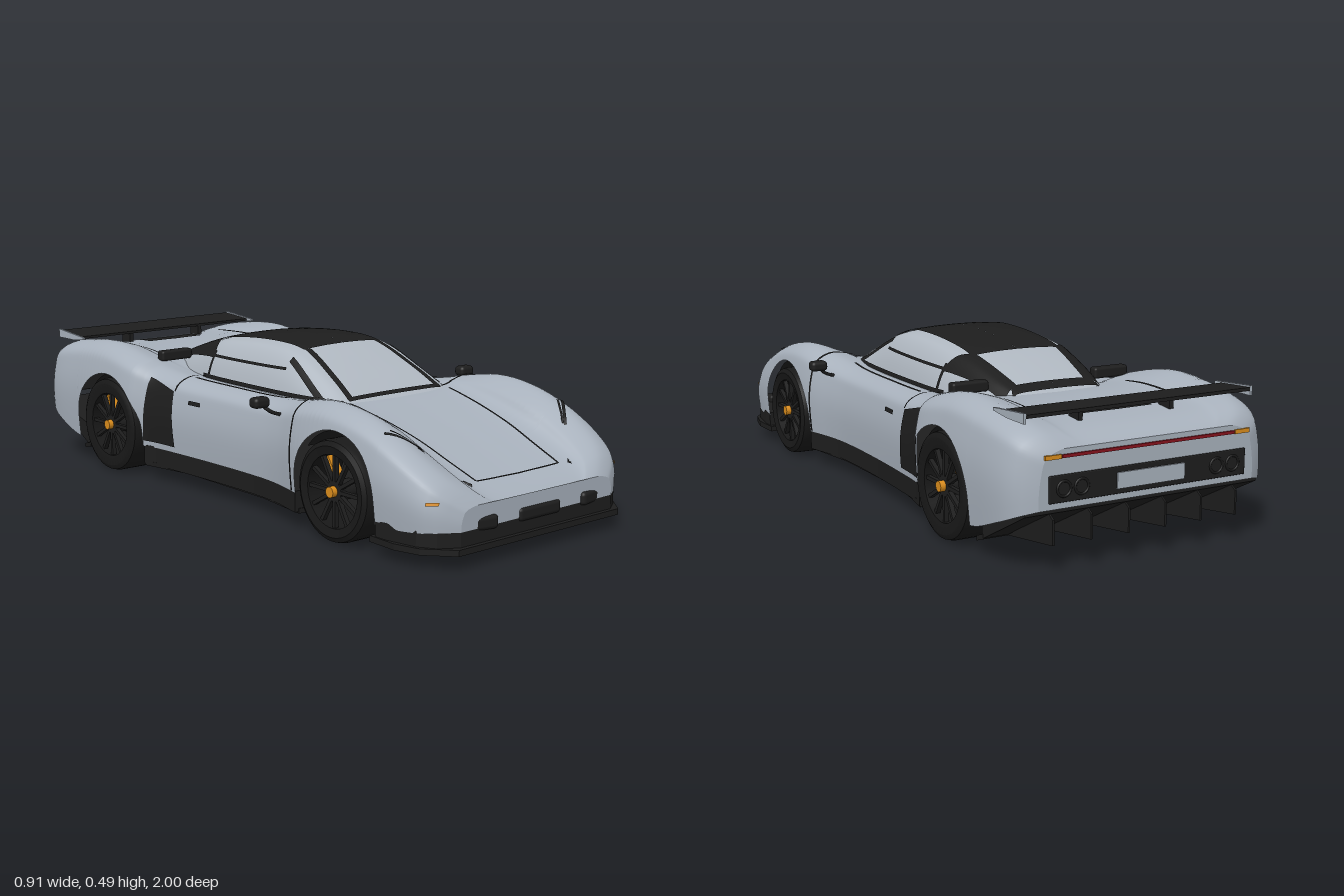
import * as THREE from 'three';
import { toCreasedNormals } from 'three/addons/utils/BufferGeometryUtils.js';
import { RoundedBoxGeometry } from 'three/addons/geometries/RoundedBoxGeometry.js';

const mat = (name, color, side = THREE.DoubleSide) =>
  Object.assign(new THREE.MeshStandardMaterial({ color, side }), { name });
const V = (x, y, z) => new THREE.Vector3(x, y, z);
const lerp = THREE.MathUtils.lerp;

// Body stations: z, half width, fender height, centre height, lower edge
const BODY = [
  [-0.99, 0.35, 0.34, 0.34, 0.18], [-0.97, 0.39, 0.365, 0.355, 0.17], [-0.9, 0.42, 0.395, 0.375, 0.14],
  [-0.75, 0.43, 0.42, 0.385, 0.09], [-0.6, 0.432, 0.425, 0.385, 0.1], [-0.43, 0.428, 0.39, 0.365, 0.11],
  [-0.38, 0.395, 0.365, 0.35, 0.11], [-0.25, 0.38, 0.35, 0.335, 0.11], [0, 0.37, 0.345, 0.33, 0.11],
  [0.2, 0.372, 0.345, 0.335, 0.11], [0.3, 0.385, 0.355, 0.34, 0.11], [0.4, 0.41, 0.375, 0.345, 0.11],
  [0.5, 0.42, 0.388, 0.325, 0.1], [0.6, 0.422, 0.38, 0.3, 0.09], [0.7, 0.42, 0.355, 0.27, 0.09],
  [0.8, 0.418, 0.31, 0.232, 0.09], [0.9, 0.4, 0.25, 0.195, 0.095], [0.95, 0.37, 0.21, 0.175, 0.1],
  [0.985, 0.31, 0.165, 0.155, 0.1]];
// Cabin stations: z, base half width, roof half width, roof height
const CABIN = [
  [-0.57, 0.16, 0.12, 0.355], [-0.52, 0.18, 0.125, 0.382], [-0.42, 0.22, 0.135, 0.42], [-0.3, 0.245, 0.145, 0.458],
  [-0.2, 0.26, 0.155, 0.478], [0, 0.265, 0.16, 0.49], [0.15, 0.265, 0.16, 0.477],
  [0.3, 0.265, 0.165, 0.41], [0.4, 0.262, 0.17, 0.352], [0.43, 0.26, 0.17, 0.33]];
const WHEELS = [{ z: 0.58, y: 0.149, r: 0.149 }, { z: -0.57, y: 0.157, r: 0.157 }];
const ARCH = 0.175;

// Smooth interpolation between stations
function station(rows, z) {
  let i = 0;
  while (i < rows.length - 2 && z > rows[i + 1][0]) i++;
  const a = rows[i], b = rows[i + 1], p = rows[i - 1] || a, n = rows[i + 2] || b;
  const h = b[0] - a[0], t = (z - a[0]) / h;
  return a.map((v, k) => {
    const m0 = (b[k] - p[k]) / (b[0] - p[0]) * h, m1 = (n[k] - v) / (n[0] - a[0]) * h;
    return (2 * t ** 3 - 3 * t * t + 1) * v + (t ** 3 - 2 * t * t + t) * m0 + (3 * t * t - 2 * t ** 3) * b[k] + (t ** 3 - t * t) * m1;
  });
}
// Half cross-sections, running from the lower outer edge to the centre line
function bodyCurve(z) {
  const [, w, f, c] = station(BODY, z), m = 0.05 + (f - 0.05) * 0.5;
  return new THREE.CatmullRomCurve3([[0.965, 0.04], [1, m], [0.975, lerp(m, f, 0.6)], [0.93, lerp(m, f, 0.86)], [0.8, f],
    [0.64, lerp(c, f, 0.65)], [0.5, lerp(c, f, 0.12)], [0, c]].map(([x, y]) => V(x * w, y, z)), false, 'catmullrom', 0.5);
}
function cabinCurve(z) {
  const [, b, t, top] = station(CABIN, z), y = 0.31, h = top - y;
  return new THREE.CatmullRomCurve3([V(b, y, z), V(lerp(b, t, 0.25), y + 0.5 * h, z), V(lerp(b, t, 0.6), y + 0.84 * h, z),
    V(t, y + 0.95 * h, z), V(t / 2, y + 0.99 * h, z), V(0, top, z)], false, 'catmullrom', 0.5);
}
function solve(curve, axis, value, lo, hi) {
  const rising = curve.getPoint(hi)[axis] > curve.getPoint(lo)[axis];
  for (let i = 0; i < 22; i++) {
    const mid = (lo + hi) / 2;
    if ((curve.getPoint(mid)[axis] < value) === rising) lo = mid; else hi = mid;
  }
  return (lo + hi) / 2;
}
const on = (make, axis, lo, hi) => (v, z) => { const c = make(z); return c.getPoint(solve(c, axis, v, lo, hi)); };
const bodyTop = on(bodyCurve, 'x', 1 / 7, 1), bodySide = on(bodyCurve, 'y', 0, 4 / 7);
const cabinTop = on(cabinCurve, 'x', 0, 1), cabinSide = on(cabinCurve, 'y', 0, 0.6);

function grid(rows) {
  const n = rows[0].length, index = [];
  for (let i = 0; i < rows.length - 1; i++) for (let j = 0; j < n - 1; j++) {
    const a = i * n + j, b = a + 1, c = a + n, d = c + 1;
    index.push(a, b, c, b, d, c);
  }
  const g = new THREE.BufferGeometry().setFromPoints(rows.flat());
  g.setIndex(index);
  g.computeVertexNormals();
  return g;
}
const mirrorX = p => V(-p.x, p.y, p.z);
const halfRow = (curve, u0, n = 32) => Array.from({ length: n + 1 }, (_, j) => curve.getPoint(lerp(u0, 1, j / n)));
const fullRow = half => [...half, ...half.slice(0, -1).reverse().map(mirrorX)];

export function createModel() {
  const car = new THREE.Group();
  car.name = 'sportsCar';
  const paint = mat('silver paint', 0xa7b0bb, THREE.FrontSide), glass = mat('pale glass', 0xafb7c0, THREE.FrontSide);
  const black = mat('black trim', 0x1d1d1d), rubber = mat('tyre rubber', 0x181818);
  const orange = mat('orange', 0xd98c1c), red = mat('red lamp', 0x86121c);
  const add = (name, g, m, x = 0, y = 0, z = 0, parent = car) => {
    const mesh = new THREE.Mesh(g, m);
    mesh.name = name;
    mesh.position.set(x, y, z);
    parent.add(mesh);
    return mesh;
  };
  const box = (name, w, h, d, m, x, y, z, parent) => add(name, new THREE.BoxGeometry(w, h, d), m, x, y, z, parent);

  // Thin mirrored panel lying on a surface, given by four corners
  const patch = (name, surf, [a, b, c, d], m, n = 10) => {
    const rows = [];
    for (let i = 0; i <= n; i++) {
      rows.push([]);
      for (let j = 0; j <= n; j++) {
        const s = i / n, t = j / n, at = k => lerp(lerp(a[k], b[k], s), lerp(d[k], c[k], s), t);
        rows[i].push(surf(at(0), at(1)));
      }
    }
    const N = grid(rows).attributes.normal;
    rows.flat().forEach((p, i) => {
      const v = V().fromBufferAttribute(N, i);
      p.addScaledVector(v, 0.004 * (v.x * p.x + v.y * (p.y - 0.15) < 0 ? -1 : 1));
    });
    add(name + 'Left', grid(rows), m);
    add(name + 'Right', grid(rows.map(r => r.map(mirrorX))), m);
  };
  const line = (name, surf, p, q, w = 0.007, m = black) => {
    const l = Math.hypot(q[0] - p[0], q[1] - p[1]), dx = -(q[1] - p[1]) / l * w / 2, dy = (q[0] - p[0]) / l * w / 2;
    patch(name, surf, [[p[0] - dx, p[1] - dy], [q[0] - dx, q[1] - dy], [q[0] + dx, q[1] + dy], [p[0] + dx, p[1] + dy]], m, 14);
  };
  // Flat slab from a half plan outline (x, z), and a bar from a side profile (z, y)
  const slab = (name, pts, y0, y1, m) => {
    const s = new THREE.Shape([...pts, ...pts.slice().reverse().map(([x, z]) => [-x, z])].map(([x, z]) => new THREE.Vector2(x, -z)));
    return add(name, new THREE.ExtrudeGeometry(s, { depth: y1 - y0, bevelEnabled: false }).rotateX(-Math.PI / 2), m, 0, y0);
  };
  const bar = (name, pts, w, x, m) => add(name, new THREE.ExtrudeGeometry(new THREE.Shape(pts.map(p => new THREE.Vector2(...p))),
    { depth: w, bevelEnabled: false }).rotateY(-Math.PI / 2), m, x + w / 2);

  // Body shell with open wheel arches
  const zs = [];
  for (let i = 0; i <= 100; i++) zs.push(lerp(-0.99, 0.985, i / 100));
  for (const w of WHEELS) {
    zs.push(w.z - ARCH - 0.0005, w.z + ARCH + 0.0005);
    for (let i = 0; i <= 24; i++) zs.push(w.z + ARCH * 0.9999 * Math.cos(i / 24 * Math.PI));
  }
  zs.sort((a, b) => a - b);
  const halves = zs.map(z => {
    let low = station(BODY, z)[4];
    for (const w of WHEELS) if (Math.abs(z - w.z) < ARCH) low = Math.max(low, w.y + Math.sqrt(ARCH ** 2 - (z - w.z) ** 2));
    const c = bodyCurve(z);
    return halfRow(c, solve(c, 'y', low, 0, 4 / 7));
  });
  add('bodyShell', grid(halves.map(fullRow)), paint);
  const nose = halves[halves.length - 1], tail = halves[0];
  add('noseFace', grid([nose, nose.map(mirrorX)]), paint);
  add('tailFace', grid([tail.map(mirrorX), tail]), paint);

  // Cabin with roof, pillars and window frames
  const cabin = [];
  for (let i = 0; i <= 60; i++) cabin.push(fullRow(halfRow(cabinCurve(lerp(-0.57, 0.43, i / 60)), 0)));
  add('cabinGlass', grid(cabin), glass);
  patch('roof', cabinTop, [[0, 0.15], [0.155, 0.15], [0.155, -0.28], [0, -0.28]], black, 16);
  patch('rearPillar', cabinTop, [[0.14, -0.27], [0.225, -0.22], [0.17, -0.5], [0.115, -0.48]], black);
  patch('rearWindowSill', cabinTop, [[0, -0.475], [0.135, -0.475], [0.15, -0.515], [0, -0.515]], black);
  line('windscreenBase', cabinTop, [0, 0.393], [0.19, 0.393], 0.014);
  line('windscreenPillar', cabinTop, [0.18, 0.395], [0.142, 0.15], 0.02);
  line('doorPillar', cabinTop, [0.25, 0.375], [0.205, 0.15], 0.014);
  line('windowRail', cabinSide, [0.42, 0.15], [0.415, -0.22], 0.008);
  line('windowBase', cabinSide, [0.35, 0.34], [0.35, -0.26], 0.012);
  line('windowPost', cabinSide, [0.35, -0.225], [0.43, -0.225], 0.012);

  // Panel gaps and surface details
  line('hoodGap', bodyTop, [0.205, 0.42], [0.17, 0.9]);
  line('hoodFrontGap', bodyTop, [0, 0.9], [0.17, 0.9], 0.005);
  line('cowlGap', bodyTop, [0.2, 0.388], [0.385, 0.388], 0.009);
  line('doorFrontGap', bodySide, [0.115, 0.39], [0.35, 0.388], 0.008);
  line('doorRearGap', bodyTop, [0.24, -0.245], [0.365, -0.245]);
  line('deckGap', bodyTop, [0.235, -0.53], [0.235, -0.82], 0.009);
  line('shoulderStrip', bodyTop, [0.29, 0.28], [0.3, -0.22], 0.008);
  patch('sideIntake', bodySide, [[0.13, -0.24], [0.31, -0.25], [0.34, -0.375], [0.13, -0.392]], black);
  line('doorHandle', bodySide, [0.285, -0.11], [0.285, -0.17], 0.013);
  line('headlightOuter', bodyTop, [0.365, 0.74], [0.205, 0.915], 0.009);
  line('headlightInner', bodyTop, [0.345, 0.74], [0.225, 0.9], 0.006);
  line('headlightTip', bodyTop, [0.28, 0.85], [0.205, 0.918], 0.018);
  line('frontIndicator', bodySide, [0.178, 0.925], [0.178, 0.95], 0.009, orange);
  patch('deckVent', bodyTop, [[0, -0.76], [0.115, -0.76], [0.115, -0.83], [0, -0.83]], black);

  // Floor, sills, splitter and lower bumper
  slab('floor', [[0.3, 0.97], [0.39, 0.88], [0.405, 0.76], [0.27, 0.75], [0.27, 0.41], [0.39, 0.405], [0.36, 0.2], [0.355, -0.2],
    [0.39, -0.39], [0.27, -0.4], [0.27, -0.74], [0.4, -0.75]], 0.045, 0.06, black);
  const sill = [];
  for (let i = 0; i <= 16; i++) { const z = lerp(0.403, -0.392, i / 16); sill.push([station(BODY, z)[1] * 0.98, z]); }
  slab('sills', sill, 0.05, 0.114, black);
  slab('splitter', [[0.33, 0.998], [0.4, 0.92], [0.42, 0.84], [0.415, 0.74]], 0.04, 0.058, black);
  slab('lowerBumper', [[0.31, 0.984], [0.365, 0.95], [0.395, 0.9], [0.412, 0.8], [0.412, 0.757]], 0.05, 0.105, black);
  add('centreInlet', new RoundedBoxGeometry(0.17, 0.04, 0.05, 2, 0.012), black, 0, 0.108, 0.967);
  for (const s of [-1, 1])
    add('sideInlet', new RoundedBoxGeometry(0.18, 0.04, 0.05, 2, 0.012), black, s * 0.26, 0.11, 0.957).rotation.y = s * 0.2;

  // Tail: lamps, grille, plate and diffuser
  box('tailLamp', 0.56, 0.009, 0.008, red, 0, 0.322, -0.991);
  for (const s of [-1, 1]) box('rearIndicator', 0.05, 0.012, 0.008, orange, s * 0.308, 0.322, -0.99);
  add('rearGrille', new RoundedBoxGeometry(0.64, 0.075, 0.008, 2, 0.003), black, 0, 0.235, -0.991);
  box('plate', 0.22, 0.045, 0.004, paint, 0, 0.235, -0.997);
  for (const s of [-1, 1]) for (const x of [0.22, 0.275])
    add('exhaust', new THREE.TorusGeometry(0.021, 0.004, 8, 20), rubber, s * x, 0.235, -0.994);
  bar('diffuser', [[-0.745, 0.045], [-0.745, 0.12], [-0.972, 0.185], [-0.972, 0.165]], 0.76, 0, black);
  for (let i = 0; i < 6; i++)
    bar('diffuserFin', [[-0.75, 0.046], [-0.96, 0.165], [-0.985, 0.15], [-0.985, 0.08]], 0.006, lerp(-0.3, 0.3, i / 5), black);

  // Rear wing
  bar('wing', [[-0.82, 0.414], [-0.82, 0.422], [-0.95, 0.432], [-0.95, 0.422]], 0.73, 0, black);
  for (const s of [-1, 1]) {
    bar('wingEndPlate', [[-0.79, 0.415], [-0.79, 0.423], [-0.95, 0.437], [-0.95, 0.408], [-0.86, 0.408]], 0.008, s * 0.369, paint);
    box('wingSupport', 0.014, 0.05, 0.05, black, s * 0.15, 0.395, -0.85);
    // Shoulder scoop and door mirror
    add('shoulderScoop', new RoundedBoxGeometry(0.12, 0.034, 0.035, 2, 0.008), black, s * 0.245, 0.398, -0.42);
    add('mirror', new RoundedBoxGeometry(0.056, 0.032, 0.04, 3, 0.012), black, s * 0.427, 0.36, 0.27);
    add('mirrorStalk', new THREE.TubeGeometry(new THREE.CatmullRomCurve3([V(s * 0.35, 0.315, 0.29), V(s * 0.395, 0.33, 0.285),
      V(s * 0.42, 0.352, 0.27)]), 8, 0.006, 6), black);
  }

  // Wheels with tyre, spokes, hub nut and brake caliper
  for (const { z, y, r } of WHEELS) for (const s of [-1, 1]) {
    const wheel = new THREE.Group();
    wheel.name = z > 0 ? 'frontWheel' : 'rearWheel';
    wheel.position.set(s * 0.352, y, z);
    wheel.scale.x = s;
    car.add(wheel);
    const prof = [[0.106, -0.062], [r - 0.018, -0.068], [r - 0.004, -0.06], [r, -0.045], [r, 0.045], [r - 0.004, 0.06], [r - 0.018, 0.068],
      [0.106, 0.062], [0.106, -0.062]].map(p => new THREE.Vector2(...p));
    add('tyre', toCreasedNormals(new THREE.LatheGeometry(prof, 48).rotateZ(Math.PI / 2), 0.7), rubber, 0, 0, 0, wheel);
    for (let i = 0; i < 12; i++) {
      const a = i / 12 * Math.PI * 2;
      box('spoke', 0.014, 0.092, 0.011, black, 0.048, Math.cos(a) * 0.063, Math.sin(a) * 0.063, wheel).rotation.x = a;
    }
    add('hub', new THREE.CylinderGeometry(0.03, 0.03, 0.06, 24).rotateZ(Math.PI / 2), black, 0.025, 0, 0, wheel);
    add('hubNut', new THREE.CylinderGeometry(0.016, 0.016, 0.02, 16).rotateZ(Math.PI / 2), orange, 0.062, 0, 0, wheel);
    box('brakeCaliper', 0.03, 0.06, 0.026, orange, 0.015, 0.06, -0.05, wheel).rotation.x = -0.6;
    // Wheel arch liner above the tyre
    add('archLiner', new THREE.CylinderGeometry(0.171, 0.171, 0.12, 24, 1, true, Math.PI - 0.9, 1.8)
      .rotateX(Math.PI / 2).rotateY(Math.PI / 2), black, s * 0.33, y, z);
  }
  return car;
}
